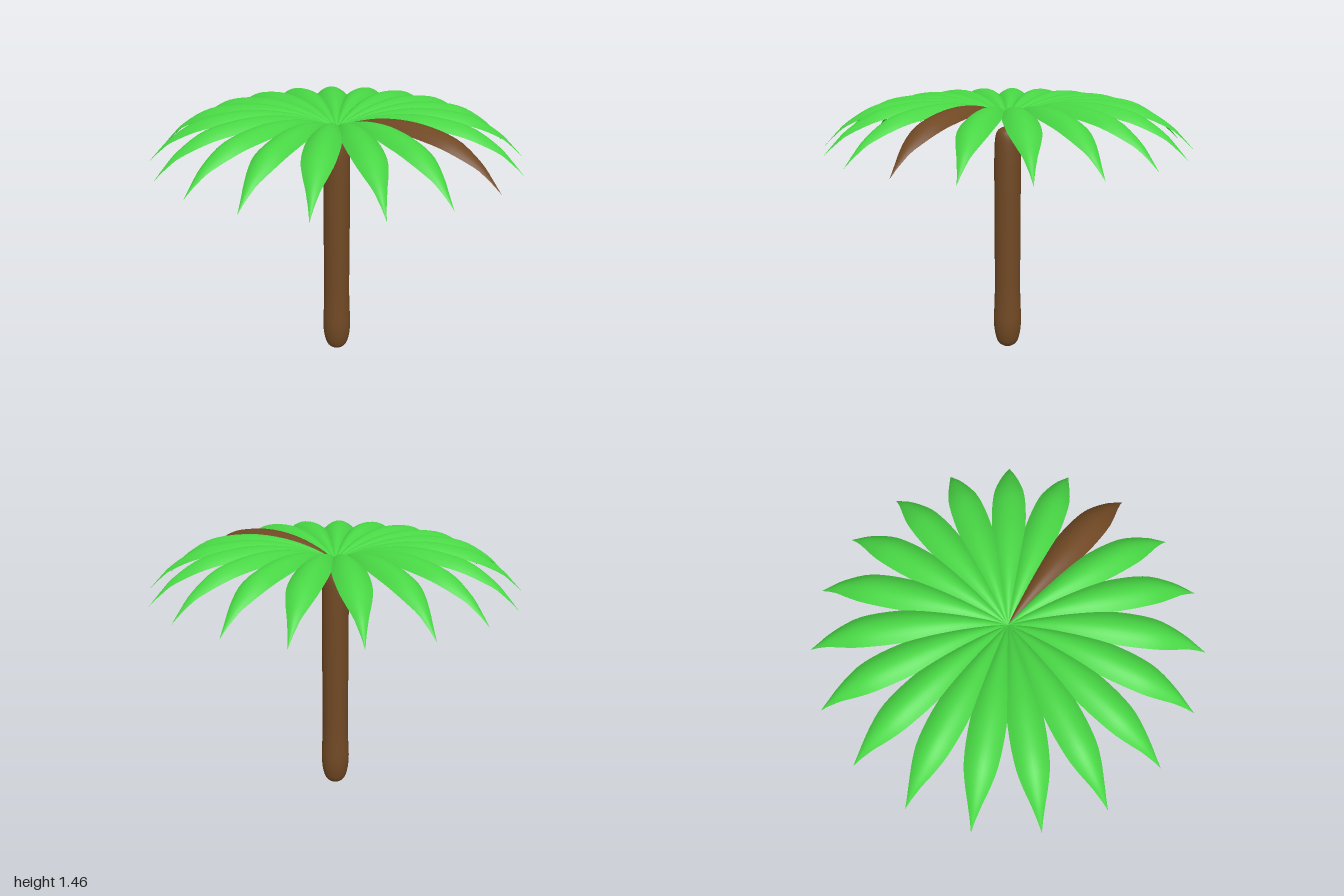
import * as THREE from 'three';

const LEAVES = 19;
const CENTRE_X = -0.006;

// Smooth curve through [x, y] pairs
const curve = (pairs) => new THREE.SplineCurve(pairs.map(([x, y]) => new THREE.Vector2(x, y)));

// Arched leaf running out along +x: a flat grid bent along a spine and narrowed to both ends
function leafGeometry() {
  const spine = curve([[0, 1.345], [0.1, 1.395], [0.25, 1.44], [0.42, 1.46], [0.58, 1.45],
    [0.73, 1.415], [0.865, 1.335], [0.94, 1.265], [1.0, 1.2]]);
  const width = curve([[0, 0.002], [0.2, 0.035], [0.42, 0.076], [0.55, 0.086], [0.68, 0.083],
    [0.77, 0.07], [0.86, 0.042], [0.94, 0.016], [1, 0]]);
  const widthPoints = width.getPoints(200);
  const halfWidth = (r) => {
    const i = widthPoints.findIndex((p) => p.x >= r - 1e-6);
    return Math.max(0, i < 0 ? 0 : widthPoints[i].y);
  };

  const g = new THREE.PlaneGeometry(1, 2, 28, 10);
  g.rotateX(-Math.PI / 2);
  const pos = g.attributes.position;
  for (let i = 0; i < pos.count; i++) {
    const p = spine.getPoint(Math.min(1, Math.max(0, pos.getX(i) + 0.5)));
    const side = pos.getZ(i);
    const w = halfWidth(p.x);
    pos.setXYZ(i, p.x, p.y - 0.5 * w * side * side, w * side);
  }
  g.computeVertexNormals();
  return g;
}

export function createModel() {
  const model = new THREE.Group();
  model.name = 'palmTree';

  const brown = new THREE.MeshStandardMaterial({ color: 0x704824, side: THREE.DoubleSide });
  const green = new THREE.MeshStandardMaterial({ color: 0x48d644, side: THREE.DoubleSide });

  // Trunk: rounded at both ends and a little swollen at the foot
  const profile = curve([[0, 0], [0.035, 0.012], [0.06, 0.04], [0.075, 0.1], [0.08, 0.17], [0.077, 0.25],
    [0.073, 0.4], [0.074, 0.7], [0.074, 1.0], [0.073, 1.15], [0.068, 1.24], [0.055, 1.28],
    [0.03, 1.298], [0, 1.303]]).getPoints(60);
  profile.forEach((p) => { p.x = Math.max(0, p.x); p.y = Math.max(0, p.y); });
  const trunk = new THREE.Mesh(new THREE.LatheGeometry(profile, 32), brown);
  trunk.name = 'trunk';
  trunk.position.x = CENTRE_X;
  model.add(trunk);

  // Crown: a ring of equal leaves, one of them withered
  const crown = new THREE.Group();
  crown.name = 'crown';
  crown.position.x = CENTRE_X;
  const geometry = leafGeometry();
  for (let i = 0; i < LEAVES; i++) {
    const leaf = new THREE.Mesh(geometry, i === 0 ? brown : green);
    leaf.name = i === 0 ? 'witheredLeaf' : 'leaf';
    leaf.rotation.y = (i / LEAVES) * Math.PI * 2;
    crown.add(leaf);
  }
  model.add(crown);

  return model;
}
